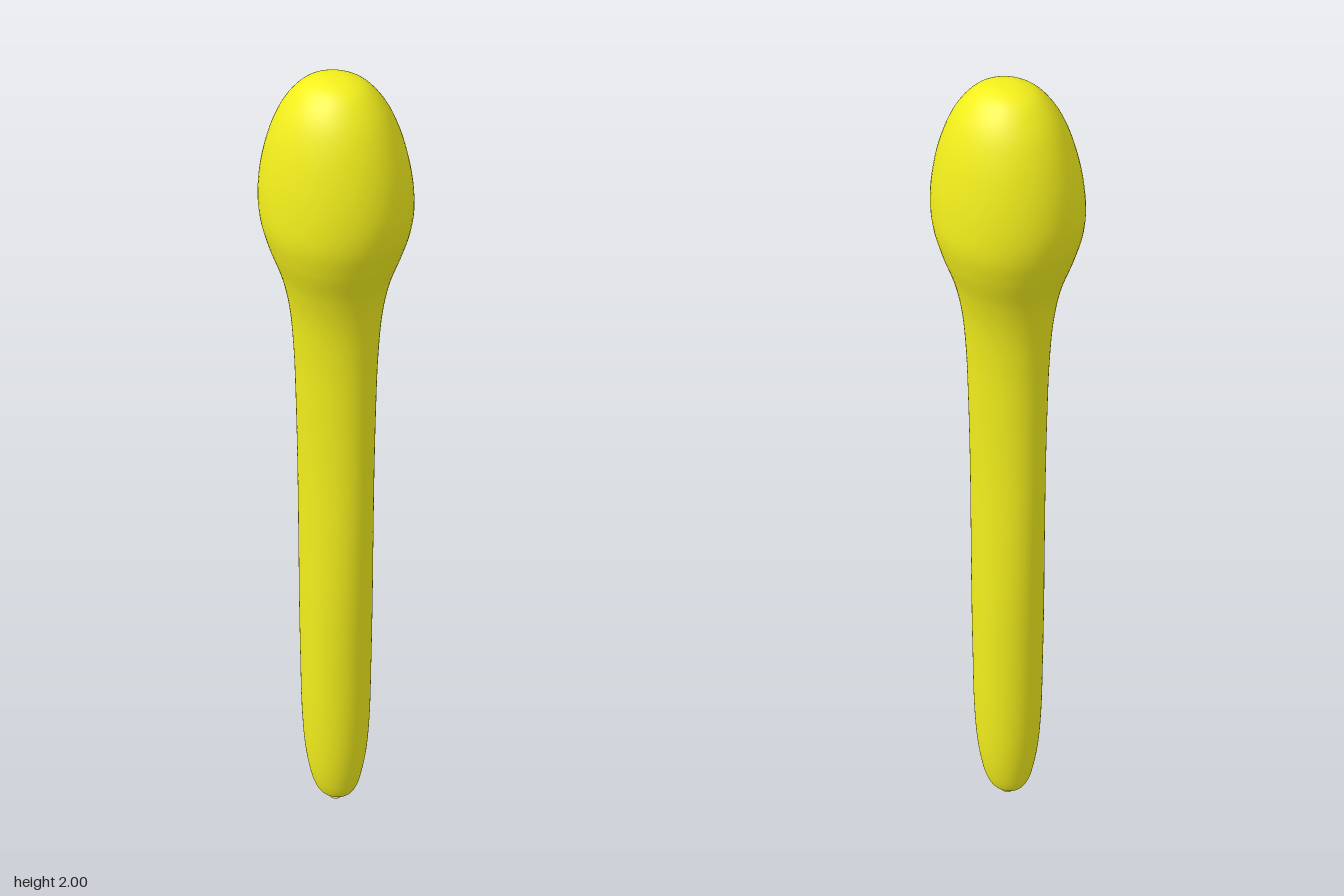
import * as THREE from 'three';
import { ParametricGeometry } from 'three/addons/geometries/ParametricGeometry.js';

// Stations from bottom to top: half-width in x, height, half-depth in z
const STATIONS = [
  [0.0005, 0.02, 0.0005], [0.022, 0.02, 0.026], [0.038, 0.03, 0.043], [0.05, 0.055, 0.057],
  [0.062, 0.105, 0.069], [0.071, 0.18, 0.08], [0.076, 0.29, 0.087], [0.077, 0.45, 0.09],
  [0.077, 0.62, 0.092], [0.073, 0.82, 0.094], [0.07, 1.02, 0.096], [0.073, 1.2, 0.098],
  [0.078, 1.33, 0.101], [0.09, 1.44, 0.108], [0.109, 1.52, 0.122], [0.136, 1.6, 0.15],
  [0.149, 1.66, 0.168], [0.149, 1.72, 0.175], [0.14, 1.8, 0.166], [0.122, 1.88, 0.142],
  [0.098, 1.938, 0.112], [0.064, 1.98, 0.073], [0.032, 1.996, 0.036], [0.0005, 2, 0.0005],
];

// Closed oval skin lofted through the stations
function loftOval(stations, around, along) {
  const curve = new THREE.CatmullRomCurve3(stations.map((s) => new THREE.Vector3(...s)));
  const p = new THREE.Vector3();
  return new ParametricGeometry((u, v, target) => {
    curve.getPoint(v, p);
    const a = u * Math.PI * 2;
    target.set(p.x * Math.cos(a), p.y, -p.z * Math.sin(a));
  }, around, along);
}

export function createModel() {
  const group = new THREE.Group();
  group.name = 'balloon';
  const rubber = new THREE.MeshStandardMaterial({ color: 0xf2ee1c, side: THREE.DoubleSide });

  // Long stem swelling into a bulb at the top
  const body = new THREE.Mesh(loftOval(STATIONS, 64, 161), rubber);
  body.name = 'balloonBody';
  group.add(body);

  // Small flared mouth under the stem
  const profile = [[0, 0.003], [0.011, 0], [0.016, 0.003], [0.013, 0.007], [0.006, 0.012], [0.008, 0.022]];
  const mouth = new THREE.Mesh(
    new THREE.LatheGeometry(profile.map(([r, y]) => new THREE.Vector2(r, y)), 24), rubber);
  mouth.name = 'mouth';
  group.add(mouth);

  return group;
}
